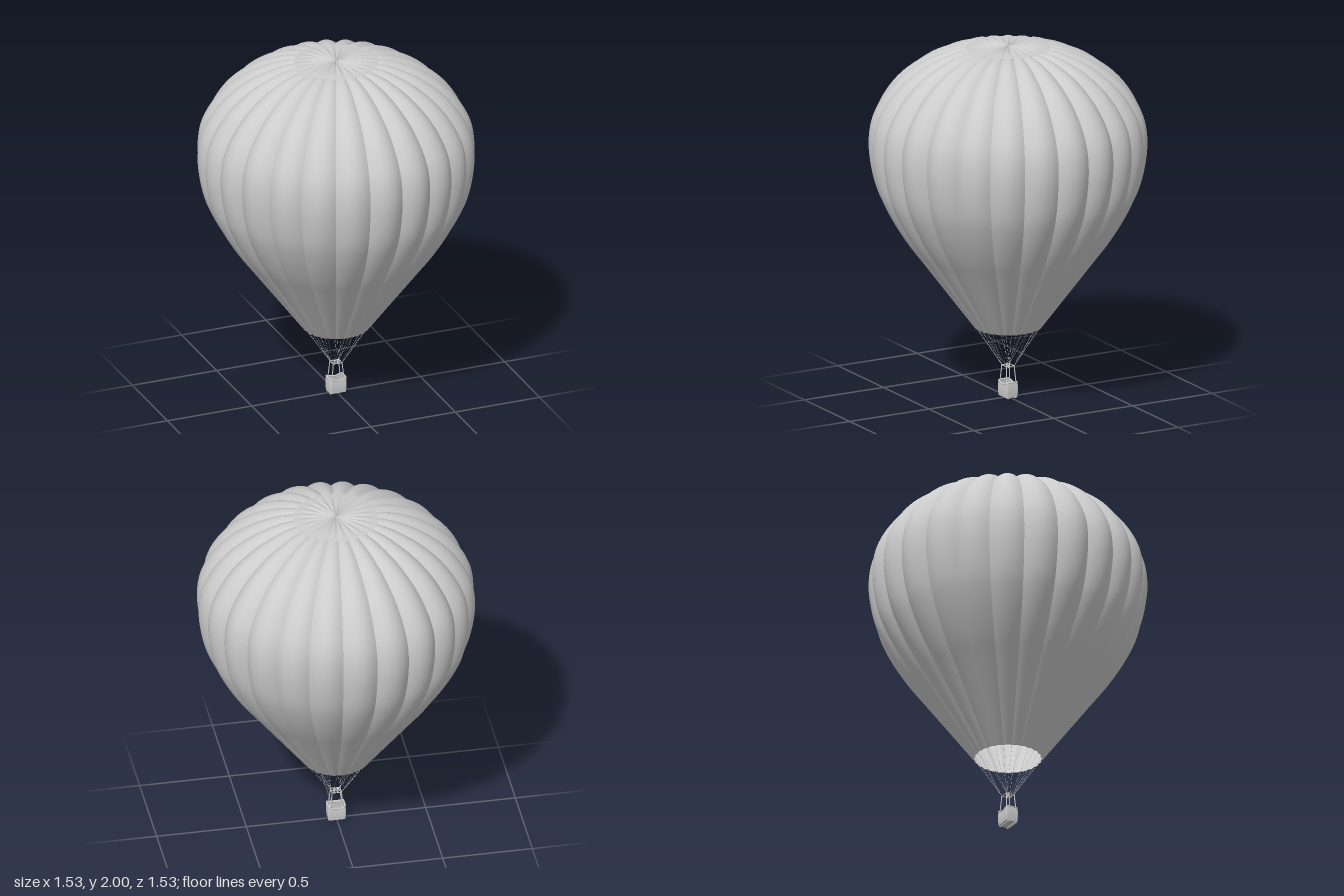
import * as THREE from 'three';

const GORES = 24;
const material = new THREE.MeshStandardMaterial({ color: 0xcccccc });
const cloth = new THREE.MeshStandardMaterial({ color: 0xcccccc, side: THREE.DoubleSide });

function add(parent, name, geometry, mat = material) {
  const mesh = new THREE.Mesh(geometry, mat);
  mesh.name = name;
  parent.add(mesh);
  return mesh;
}

// Straight rod between two points
function rod(parent, name, a, b, radius, sides = 8) {
  const dir = b.clone().sub(a);
  const mesh = add(parent, name, new THREE.CylinderGeometry(radius, radius, dir.length(), sides));
  mesh.position.copy(a).add(b).multiplyScalar(0.5);
  mesh.quaternion.setFromUnitVectors(new THREE.Vector3(0, 1, 0), dir.normalize());
}

// Grid surface from point(i, j), wound so that i runs anticlockwise and j upwards
function grid(cols, rows, point, positions, indices) {
  const start = positions.length / 3;
  for (let j = 0; j <= rows; j++) {
    for (let i = 0; i <= cols; i++) {
      positions.push(...point(i / cols, j / rows));
      if (i < cols && j < rows) {
        const a = start + j * (cols + 1) + i, b = a + cols + 1;
        indices.push(a, a + 1, b + 1, a, b + 1, b);
      }
    }
  }
}

function toGeometry(positions, indices) {
  const g = new THREE.BufferGeometry();
  g.setAttribute('position', new THREE.Float32BufferAttribute(positions, 3));
  g.setIndex(indices);
  g.computeVertexNormals();
  return g;
}

// Crown profile of the envelope, radius and height along the middle of a gore
const profile = new THREE.SplineCurve([
  [0.185, 0.4], [0.335, 0.6], [0.485, 0.8], [0.56, 0.9], [0.625, 1.0], [0.68, 1.1],
  [0.723, 1.2], [0.752, 1.32], [0.764, 1.45], [0.747, 1.58], [0.69, 1.7], [0.6, 1.81],
  [0.48, 1.9], [0.36, 1.956], [0.27, 1.982], [0.21, 1.988],
].map(([r, y]) => new THREE.Vector2(r, y)));

// Bulging gores, each with its own seam so that the valleys stay sharp
function envelopeGeometry() {
  const positions = [], indices = [];
  const rows = 56;
  const section = [];
  for (let j = 0; j <= rows; j++) {
    section.push({ p: profile.getPoint(j / rows), t: profile.getTangent(j / rows) });
  }
  for (let k = 0; k < GORES; k++) {
    grid(10, rows, (s, v) => {
      const { p, t } = section[Math.round(v * rows)];
      const u = s * 2 - 1;
      const angle = (k + u / 2) / GORES * Math.PI * 2;
      const inset = 0.046 * p.x * u * u;
      const r = p.x - t.y * inset;
      const y = v === 0 ? 0.4 : p.y + t.x * inset * -1 * (t.x < 0 ? -1 : 0.3);
      return [r * Math.sin(angle), y, r * Math.cos(angle)];
    }, positions, indices);
  }
  return toGeometry(positions, indices);
}

// Pleated vent disc closing the top
function ventGeometry() {
  const positions = [], indices = [];
  grid(GORES * 8, 8, (s, v) => {
    const angle = s * Math.PI * 2;
    const r = 0.233 * (1 - v);
    const pleat = 0.004 * Math.cos(angle * GORES) * Math.sin(Math.PI * Math.min(1, r / 0.24 + 0.08));
    const y = 1.996 - 0.008 * (r / 0.233) ** 4 + pleat;
    return [r * Math.sin(angle), y, r * Math.cos(angle)];
  }, positions, indices);
  return toGeometry(positions, indices);
}

// Rounded rectangle outline centred on the origin
function roundedRect(target, w, d, r) {
  const x = w / 2, y = d / 2;
  target.moveTo(-x + r, -y).lineTo(x - r, -y).quadraticCurveTo(x, -y, x, -y + r)
    .lineTo(x, y - r).quadraticCurveTo(x, y, x - r, y)
    .lineTo(-x + r, y).quadraticCurveTo(-x, y, -x, y - r)
    .lineTo(-x, -y + r).quadraticCurveTo(-x, -y, -x + r, -y);
  return target;
}

// Height of the basket rim: it dips between the two ends
const rimHeight = (x) => 0.077 + 0.016 * Math.min(1, Math.abs(x) / 0.05) ** 2;

// Hollow wicker walls, slightly bellied
function basketWalls() {
  const shape = roundedRect(new THREE.Shape(), 0.1, 0.076, 0.012);
  shape.holes.push(roundedRect(new THREE.Path(), 0.09, 0.066, 0.009));
  // Split the long sides so that the rim can follow its curve
  const split = (pts) => pts.flatMap((p, i) => {
    const q = pts[(i + 1) % pts.length];
    const n = Math.max(1, Math.round(p.distanceTo(q) / 0.01));
    return Array.from({ length: n }, (_, k) => p.clone().lerp(q, k / n));
  });
  const fine = new THREE.Shape(split(shape.getPoints(5).slice(0, -1)));
  fine.holes.push(new THREE.Path(split(shape.holes[0].getPoints(5).slice(0, -1))));
  const g = new THREE.ExtrudeGeometry(fine, { depth: 1, steps: 6, bevelEnabled: false });
  g.rotateX(-Math.PI / 2);
  const pos = g.attributes.position;
  for (let i = 0; i < pos.count; i++) {
    const x = pos.getX(i), v = pos.getY(i), z = pos.getZ(i);
    const belly = 0.96 + 0.06 * Math.sin(Math.PI * v);
    pos.setXYZ(i, x * belly, 0.006 + v * (rimHeight(x) - 0.006), z * belly);
  }
  g.computeVertexNormals();
  return g;
}

export function createModel() {
  const model = new THREE.Group();
  model.name = 'hotAirBalloon';
  const V = (x, y, z) => new THREE.Vector3(x, y, z);

  add(model, 'envelope', envelopeGeometry(), cloth);
  add(model, 'topVent', ventGeometry(), cloth);

  // Basket with floor, padded rim and runners
  const basket = new THREE.Group();
  basket.name = 'basket';
  model.add(basket);
  add(basket, 'basketWalls', basketWalls());
  add(basket, 'basketFloor', new THREE.BoxGeometry(0.092, 0.007, 0.068)).position.y = 0.0085;
  for (const z of [-0.022, 0.022]) {
    add(basket, 'runner', new THREE.BoxGeometry(0.094, 0.006, 0.008)).position.set(0, 0.003, z);
  }
  const rimPoints = roundedRect(new THREE.Path(), 0.093, 0.07, 0.012).getSpacedPoints(48).slice(0, -1)
    .map((p) => V(p.x, rimHeight(p.x), p.y));
  add(basket, 'rimPadding',
    new THREE.TubeGeometry(new THREE.CatmullRomCurve3(rimPoints, true), 64, 0.0045, 8, true));

  // Gas tanks standing in the basket corners
  for (const [x, z] of [[-0.03, -0.018], [0.03, 0.018]]) {
    const tank = add(basket, 'gasTank', new THREE.CapsuleGeometry(0.011, 0.04, 6, 16));
    tank.position.set(x, 0.043, z);
  }

  // Uprights leaning in to the burner frame
  const corners = [[1, 1], [1, -1], [-1, -1], [-1, 1]];
  const frame = new THREE.Group();
  frame.name = 'burnerFrame';
  model.add(frame);
  const top = corners.map(([x, z]) => V(0.026 * x, 0.178, 0.024 * z));
  corners.forEach(([x, z], i) => {
    rod(frame, 'upright', V(0.037 * x, 0.07, 0.031 * z), top[i], 0.003);
    rod(frame, 'frameBar', top[i], top[(i + 1) % 4], 0.0025);
    const joint = add(frame, 'frameJoint', new THREE.SphereGeometry(0.0042, 10, 8));
    joint.position.copy(top[i]);
  });
  rod(frame, 'burnerBar', V(-0.026, 0.178, 0), V(0.026, 0.178, 0), 0.0025);

  // Twin burners
  for (const x of [-0.009, 0.009]) {
    const can = add(frame, 'burner', new THREE.CylinderGeometry(0.007, 0.006, 0.022, 14));
    can.position.set(x, 0.178, 0);
    const coil = add(frame, 'burnerCoil', new THREE.TorusGeometry(0.007, 0.0015, 6, 16));
    coil.rotation.x = Math.PI / 2;
    coil.position.set(x, 0.187, 0);
  }

  // Load lines from each seam to the nearest frame corner
  const lines = new THREE.Group();
  lines.name = 'loadLines';
  model.add(lines);
  for (let k = 0; k < GORES; k++) {
    const a = (k + 0.5) / GORES * Math.PI * 2;
    const end = V(0.179 * Math.sin(a), 0.402, 0.179 * Math.cos(a));
    const corner = top.find((p) => p.x * end.x >= 0 && p.z * end.z >= 0);
    rod(lines, 'loadLine', corner, end, 0.0006, 5);
  }
  return model;
}
